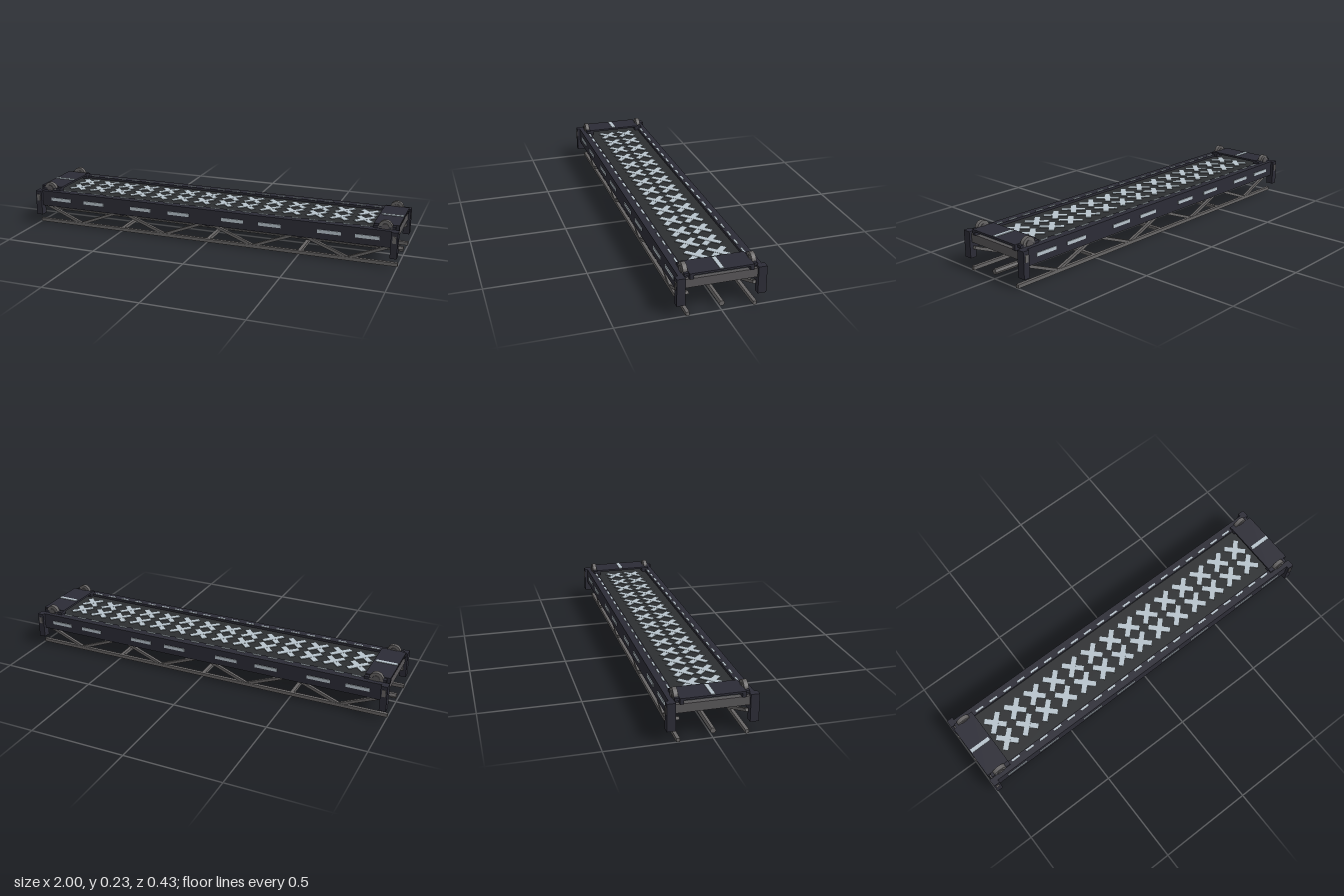
import * as THREE from 'three';

const mat = (name, color) => {
  const m = new THREE.MeshStandardMaterial({ color });
  m.name = name;
  return m;
};

export function createModel() {
  const root = new THREE.Group();
  root.name = 'trussWalkway';
  const frame = mat('darkFrame', 0x2c2c36);
  const deckMat = mat('deckGrey', 0x2d2f31);
  const steel = mat('steel', 0x686666);
  const endSteel = mat('endSteel', 0x585658);
  const light = mat('paleMarking', 0xb8c4cc);

  const add = (name, geo, m, x, y, z) => {
    const mesh = new THREE.Mesh(geo, m);
    mesh.name = name;
    mesh.position.set(x, y, z);
    root.add(mesh);
    return mesh;
  };
  // box from its lower and upper limits
  const box = (name, m, x0, x1, y0, y1, z0, z1) =>
    add(name, new THREE.BoxGeometry(x1 - x0, y1 - y0, z1 - z0), m,
      (x0 + x1) / 2, (y0 + y1) / 2, (z0 + z1) / 2);
  // box mirrored to the other side in z
  const sideBox = (name, m, x0, x1, y0, y1, z0, z1) => {
    box(name, m, x0, x1, y0, y1, z0, z1);
    box(name, m, x0, x1, y0, y1, -z1, -z0);
  };

  // deck and long side beams
  box('deck', deckMat, -0.97, 0.97, 0.15, 0.178, -0.173, 0.173);
  sideBox('sideBeam', frame, -0.985, 0.985, 0.105, 0.19, 0.173, 0.198);
  sideBox('curb', frame, -0.97, 0.97, 0.178, 0.19, 0.152, 0.173);

  // dashes on the outer faces of the beams
  for (const x of [-0.85, -0.65, -0.37, -0.15, 0.15, 0.35, 0.66, 0.85])
    sideBox('sideDash', light, x - 0.06, x + 0.06, 0.139, 0.156, 0.198, 0.202);

  // short dashes along the curbs
  for (let i = 0; i < 20; i++) {
    const x = -0.83 + i * 1.66 / 19;
    sideBox('curbDash', light, x - 0.023, x + 0.023, 0.19, 0.193, 0.158, 0.168);
  }

  // two rows of crosses on the deck
  const arm = new THREE.BoxGeometry(0.12, 0.004, 0.03);
  for (let i = 0; i < 14; i++)
    for (const z of [-0.054, 0.054])
      for (const s of [-1, 1])
        add('deckCross', arm, light, (i - 6.5) * 0.124, 0.187 + s * 0.0005, z).rotation.y = s * Math.PI / 4;

  // end assemblies
  const wheel = new THREE.CylinderGeometry(0.035, 0.035, 0.021, 20).rotateX(Math.PI / 2);
  const hub = new THREE.CylinderGeometry(0.018, 0.018, 0.029, 16).rotateX(Math.PI / 2);
  for (const s of [-1, 1]) {
    const endBox = (name, m, a, b, ...r) => box(name, m, Math.min(s * a, s * b), Math.max(s * a, s * b), ...r);
    endBox('endPlate', frame, 0.87, 0.995, 0.197, 0.207, -0.152, 0.152);
    endBox('endStripe', light, 0.88, 0.99, 0.207, 0.21, -0.01, 0.01);
    endBox('endBeam', endSteel, 0.965, 0.988, 0.135, 0.178, -0.173, 0.173);
    for (const t of [-1, 1]) {
      const zBox = (name, m, a, b, y0, y1, c, d) =>
        endBox(name, m, a, b, y0, y1, Math.min(t * c, t * d), Math.max(t * c, t * d));
      zBox('plateSupport', frame, 0.87, 0.995, 0.178, 0.197, 0.134, 0.152);
      zBox('wheelPad', frame, 0.87, 0.98, 0.19, 0.203, 0.152, 0.173);
      zBox('cornerPost', frame, 0.966, 1, 0.055, 0.19, 0.172, 0.213);
      zBox('postPlate', steel, 0.974, 0.992, 0.135, 0.171, 0.213, 0.216);
      add('wheel', wheel, steel, s * 0.93, 0.198, t * 0.1625);
      add('wheelHub', hub, endSteel, s * 0.93, 0.2, t * 0.1625);
    }
  }

  // under-truss chords, cross members and zigzag braces
  sideBox('lowerChord', steel, -1, 1, 0, 0.018, 0.152, 0.169);
  for (const x of [-0.5, 0, 0.5]) {
    box('lowerCrossBar', steel, x - 0.009, x + 0.009, 0.001, 0.017, -0.155, 0.155);
    box('upperCrossBeam', frame, x - 0.011, x + 0.011, 0.087, 0.122, -0.164, 0.164);
  }
  for (let i = 0; i < 8; i++) {
    const xa = i === 0 ? -0.985 : -1 + i * 0.25;
    const xb = i === 7 ? 0.985 : -0.75 + i * 0.25;
    const [ya, yb] = i % 2 ? [0.012, 0.11] : [0.11, 0.012];
    const geo = new THREE.BoxGeometry(Math.hypot(xb - xa, yb - ya), 0.015, 0.015);
    for (const z of [-0.16, 0.16])
      add('diagonalBrace', geo, steel, (xa + xb) / 2, (ya + yb) / 2, z)
        .rotation.z = Math.atan2(yb - ya, xb - xa);
  }

  // central hexagonal pipe
  const pipe = new THREE.CylinderGeometry(0.0143, 0.0143, 2, 6).toNonIndexed();
  pipe.rotateY(Math.PI / 2 - Math.PI / 2).rotateZ(Math.PI / 2);
  pipe.computeVertexNormals();
  add('centralPipe', pipe, steel, 0, 0.035, 0);

  return root;
}
